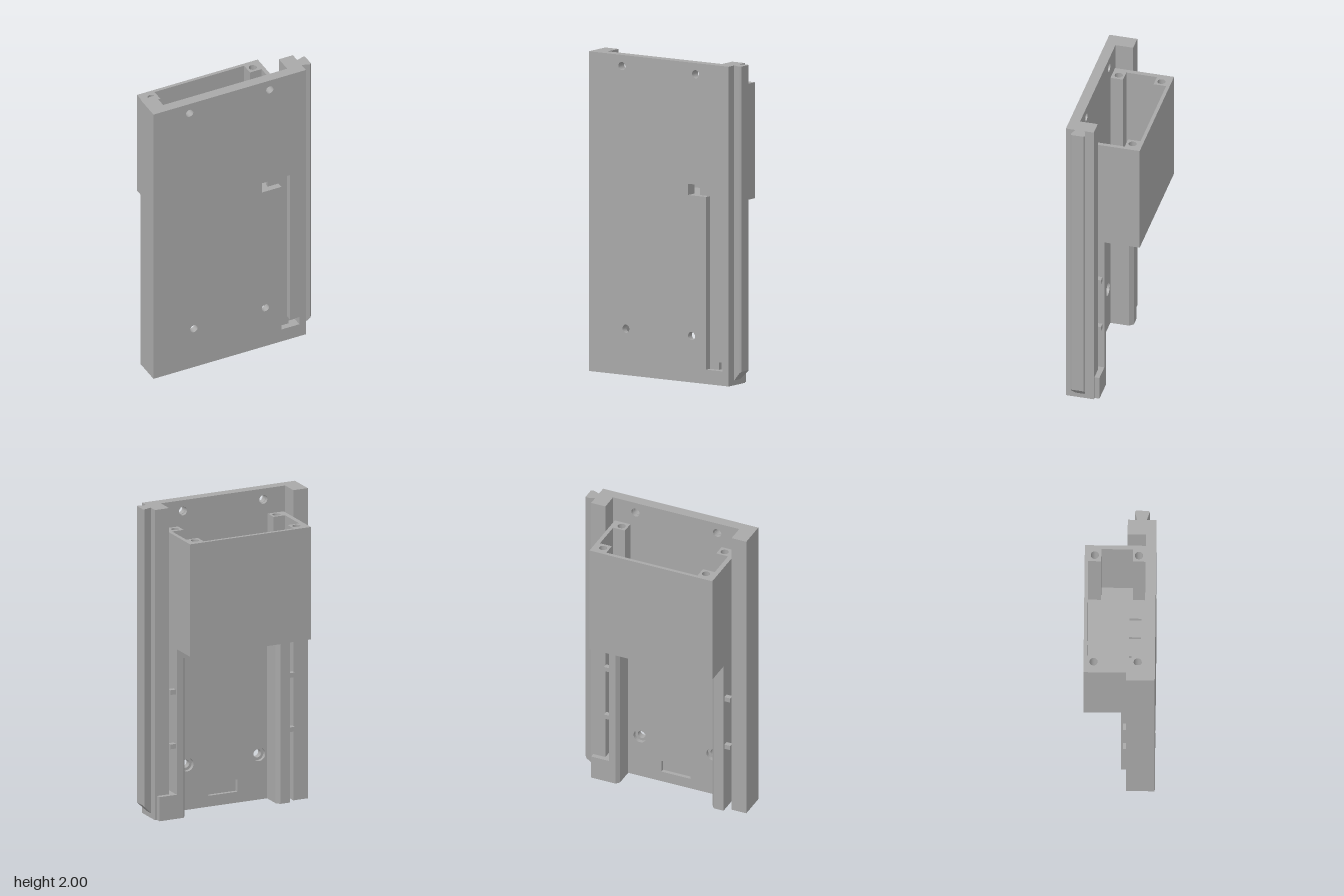
import * as THREE from 'three';

export function createModel() {
  const model = new THREE.Group();
  const grey = new THREE.MeshStandardMaterial({ color: 0xa8a8a8 });
  grey.name = 'grey plastic';

  const add = (name, geometry) => {
    const mesh = new THREE.Mesh(geometry, grey);
    mesh.name = name;
    model.add(mesh);
    return mesh;
  };
  const box = (name, x0, x1, y0, y1, z0, z1) =>
    add(name, new THREE.BoxGeometry(x1 - x0, y1 - y0, z1 - z0))
      .position.set((x0 + x1) / 2, (y0 + y1) / 2, (z0 + z1) / 2);

  const poly = (points) => new THREE.Shape(points.map(([a, b]) => new THREE.Vector2(a, b)));
  const rect = (a0, a1, b0, b1) => poly([[a0, b0], [a1, b0], [a1, b1], [a0, b1]]);
  const circle = (a, b, r) => new THREE.Shape().absarc(a, b, r, 0, Math.PI * 2, false);

  // Slab drawn in x/y and given a thickness along z
  const slabZ = (name, outline, holes, z0, z1) => {
    outline.holes = holes;
    const g = new THREE.ExtrudeGeometry(outline, { depth: z1 - z0, bevelEnabled: false, curveSegments: 16 });
    add(name, g.translate(0, 0, z0));
  };
  // Plan drawn in x/-z and raised along y
  const raised = (outline, holes, y0, y1) => {
    outline.holes = holes;
    const g = new THREE.ExtrudeGeometry(outline, { depth: y1 - y0, bevelEnabled: false, curveSegments: 16 });
    return g.rotateX(-Math.PI / 2).translate(0, y0, 0);
  };

  // Main plate in two layers: wire channel in front, counterbores and pocket behind
  const upper = [[-0.31, 1.93], [0.245, 1.93]];
  const lower = [[-0.28, 0.29], [0.215, 0.29]];
  const channel = poly([[0.19, 1.17], [0.325, 1.17], [0.325, 0.09], [0.45, 0.09],
    [0.45, 0.145], [0.385, 0.145], [0.385, 1.24], [0.19, 1.24]]);
  slabZ('frontPlate', rect(-0.56, 0.495, 0, 2),
    [...[...upper, ...lower].map(([x, y]) => circle(x, y, 0.026)), channel], 0.18, 0.22);
  slabZ('rearPlate', rect(-0.56, 0.495, 0, 2), [
    ...upper.map(([x, y]) => circle(x, y, 0.028)),
    ...lower.map(([x, y]) => circle(x, y, 0.043)),
    rect(0.19, 0.25, 1.17, 1.24),
    rect(0.395, 0.45, 0.09, 0.145),
    rect(-0.13, 0.07, 0.07, 0.15),
  ], 0.155, 0.18);

  // Side rails
  box('rightRail', -0.56, -0.46, 0, 2, 0.042, 0.155);
  box('leftRail', 0.398, 0.495, 0, 2, 0.042, 0.155);

  // Dovetail on the left edge, cut at a slant at its foot
  const dovetail = raised(poly([[0.495, -0.1], [0.545, -0.085], [0.555, -0.092],
    [0.555, -0.17], [0.545, -0.177], [0.495, -0.16]]), [], 0, 2);
  const p = dovetail.attributes.position;
  for (let i = 0; i < p.count; i++) {
    if (p.getY(i) < 1) p.setY(i, 0.03 + (p.getX(i) - 0.495));
  }
  dovetail.computeVertexNormals();
  add('dovetail', dovetail);

  // Rear compartment: open-topped walls with four screw posts
  const posts = [[-0.38, 0.16], [0.32, 0.16], [-0.38, -0.113], [0.32, -0.113]];
  add('compartmentWalls', raised(poly([
    [-0.45, -0.155], [-0.45, 0.222], [0.385, 0.222], [0.385, -0.155],
    [0.28, -0.155], [0.28, -0.075], [0.36, -0.075], [0.36, 0.12], [0.28, 0.12], [0.28, 0.2],
    [-0.34, 0.2], [-0.34, 0.12], [-0.42, 0.12], [-0.42, -0.075], [-0.34, -0.075], [-0.34, -0.155],
  ]), posts.map(([x, b]) => circle(x, b, 0.025)), 1.14, 1.835));

  // Compartment floor and the shelf below it, both pierced by the slots
  const slots = () => [rect(-0.345, -0.245, -0.11, -0.063),
    ...[-0.215, -0.093, 0.03, 0.152].map((x) => rect(x - 0.006, x + 0.006, -0.13, -0.055))];
  add('compartmentFloor', raised(rect(-0.45, 0.385, -0.155, 0.222),
    [...slots(), circle(-0.333, -0.025, 0.011), circle(-0.26, -0.025, 0.011)], 1.11, 1.14));
  add('shelf', raised(rect(-0.42, 0.36, -0.155, -0.01), slots(), 1.03, 1.11));

  // Uprights below the compartment, with bevelled inner corners
  const upright = (name, outer, inner, s) => add(name, raised(poly([
    [outer, -0.155], [outer, -0.01], [inner + s * 0.02, -0.01], [inner, -0.035], [inner, -0.155],
  ]), [], 0, 1.03));
  upright('leftUpright', 0.36, 0.295, 1);
  upright('rightUpright', -0.42, -0.335, -1);

  // Small ribs beside the uprights
  for (const y of [0.45, 0.8]) {
    box('leftRib', 0.36, 0.398, y, y + 0.03, 0.022, 0.055);
    box('rightRib', -0.46, -0.42, y, y + 0.03, 0.022, 0.055);
  }

  // Foot block covering the lower end of the wire channel
  box('footBlock', 0.36, 0.48, 0, 0.155, 0.01, 0.042);
  box('footFill', 0.36, 0.398, 0, 0.155, 0.042, 0.155);

  return model;
}
